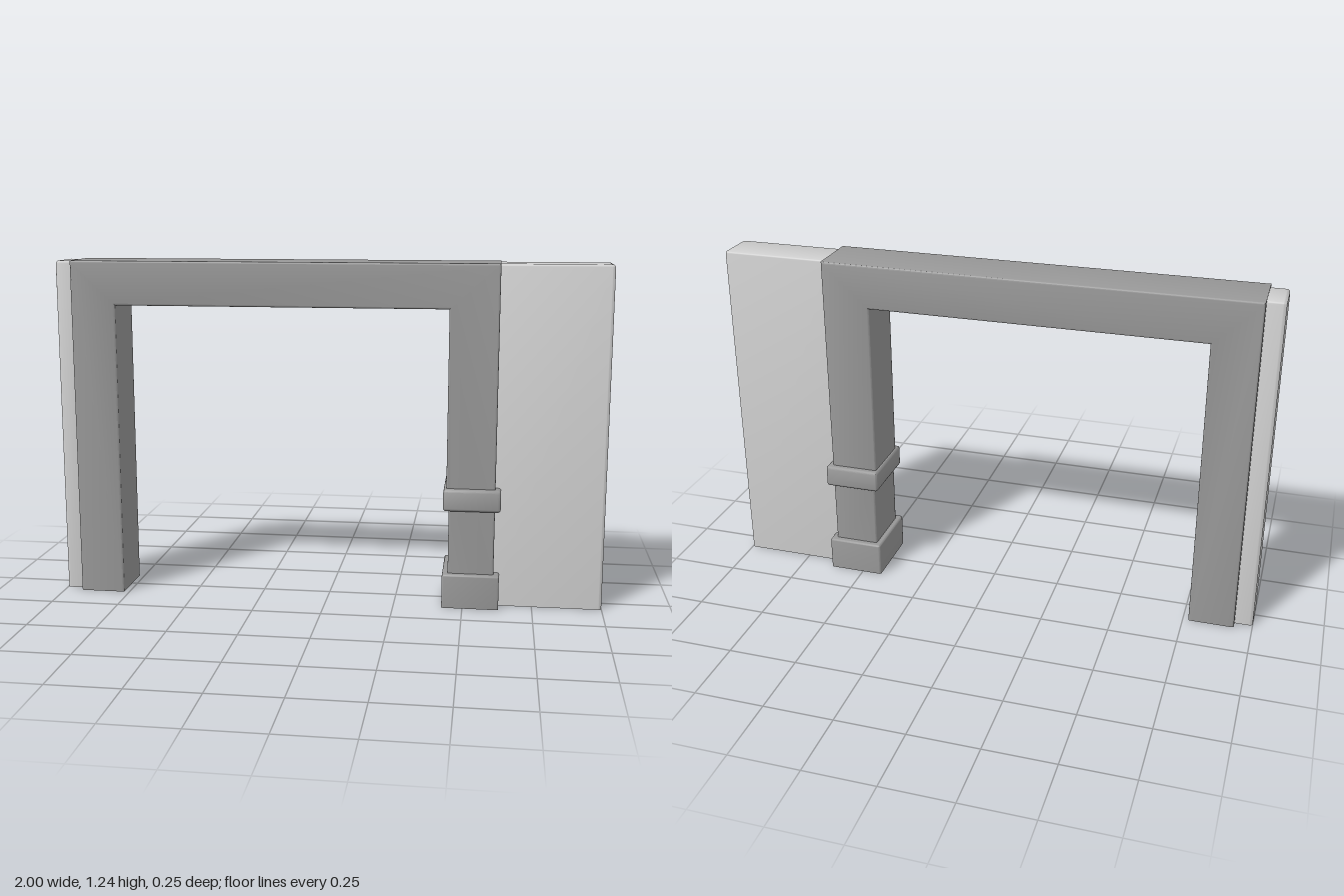
import * as THREE from 'three';
import { toCreasedNormals } from 'three/addons/utils/BufferGeometryUtils.js';
import { RoundedBoxGeometry } from 'three/addons/geometries/RoundedBoxGeometry.js';

const HEIGHT = 1.24;

// Cut off everything that reaches below the floor, so undersides stay flat
function flattenBase(geometry) {
  const p = geometry.attributes.position;
  for (let i = 0; i < p.count; i++) p.setY(i, Math.max(0, p.getY(i)));
  return toCreasedNormals(geometry, 0.6);
}

// Soft-edged block given by its x and y limits and its depth
function block(name, material, x0, x1, y0, y1, depth, radius) {
  const bottom = y0 === 0 ? -radius : y0;
  const g = new RoundedBoxGeometry(x1 - x0, y1 - bottom, depth, 3, radius);
  g.translate((x0 + x1) / 2, (y1 + bottom) / 2, 0);
  const mesh = new THREE.Mesh(flattenBase(g), material);
  mesh.name = name;
  return mesh;
}

// Doorway surround: one bevelled outline with two legs and a lintel
function doorFrame(material) {
  const b = 0.007;
  const outline = [
    [-0.935 + b, 0], [-0.77 - b, 0], [-0.77 - b, 1.08 + b], [0.435 + b, 1.08 + b],
    [0.435 + b, 0.4], [0.445 + b, 0.4], [0.445 + b, 0], [0.61 - b, 0],
    [0.61 - b, HEIGHT - b], [-0.935 + b, HEIGHT - b],
  ].map(([x, y]) => new THREE.Vector2(x, y));
  const depth = 0.21 - 2 * b;
  const g = new THREE.ExtrudeGeometry(new THREE.Shape(outline), {
    depth, bevelEnabled: true, bevelSize: b, bevelThickness: b, bevelSegments: 3,
  });
  g.translate(0, 0, -depth / 2);
  const mesh = new THREE.Mesh(flattenBase(g), material);
  mesh.name = 'doorFrame';
  return mesh;
}

export function createModel() {
  const wallGrey = new THREE.MeshStandardMaterial({ color: 0xcccccc });
  wallGrey.name = 'lightGreyWall';
  const trimGrey = new THREE.MeshStandardMaterial({ color: 0x989898 });
  trimGrey.name = 'darkGreyTrim';

  const model = new THREE.Group();
  model.name = 'doorway';
  model.add(
    doorFrame(trimGrey),
    // Wall pieces either side, tucked slightly into the frame
    block('wallLeft', wallGrey, 0.59, 1, 0, HEIGHT - 0.002, 0.15, 0.012),
    block('wallRight', wallGrey, -1, -0.915, 0, HEIGHT - 0.002, 0.15, 0.012),
    // Plinth and collar around the left column
    block('columnBase', trimGrey, 0.425, 0.63, 0, 0.125, 0.254, 0.007),
    block('columnCollar', trimGrey, 0.425, 0.63, 0.36, 0.44, 0.254, 0.01),
  );
  return model;
}
